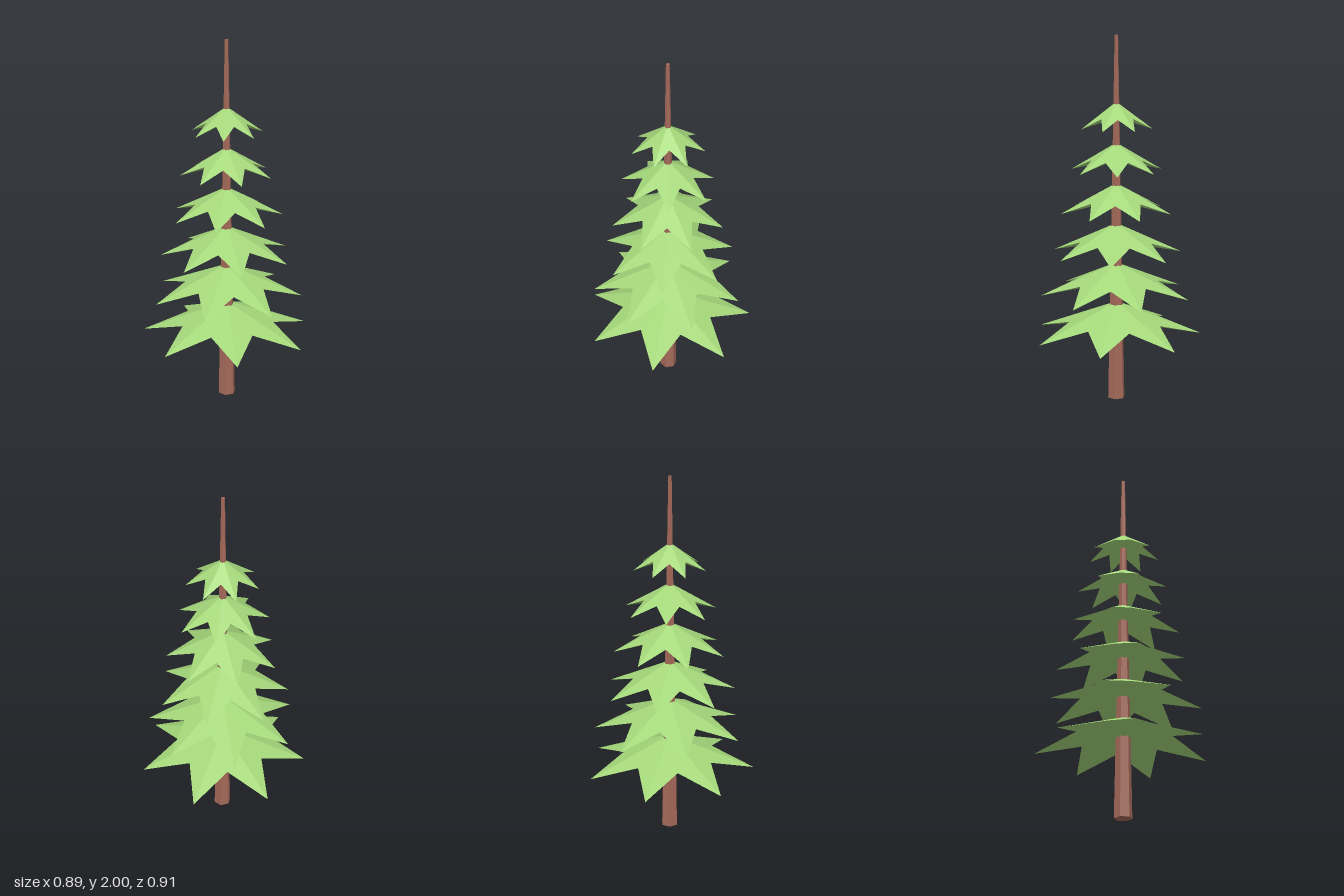
import * as THREE from 'three';

const POINTS = 7;
const AXIS_X = -0.024; // trunk axis, so the whole crown is centred

// Solid seven-pointed star: apex at the origin, drooping tips at y = -drop,
// valleys and underside centre level with each other
function starTier(radius, drop, turn) {
  const level = -drop * 0.61;
  const rim = [];
  for (let i = 0; i < POINTS * 2; i++) {
    const a = turn + (i * Math.PI) / POINTS;
    const valley = i % 2 === 1;
    const r = valley ? radius * 0.55 : radius;
    rim.push([Math.cos(a) * r, valley ? level : -drop, Math.sin(a) * r]);
  }
  const pos = [];
  rim.forEach((p, i) => {
    const next = rim[(i + 1) % rim.length];
    pos.push(0, 0, 0, ...next, ...p); // upper face
    pos.push(0, level, 0, ...p, ...next); // underside face
  });
  const g = new THREE.BufferGeometry();
  g.setAttribute('position', new THREE.Float32BufferAttribute(pos, 3));
  g.computeVertexNormals();
  return g;
}

export function createModel() {
  const bark = new THREE.MeshStandardMaterial({ color: 0xa56a5a, flatShading: true });
  bark.name = 'bark brown';
  const needles = new THREE.MeshStandardMaterial({ color: 0xa4d77a, flatShading: true });
  needles.name = 'needle green';

  const tree = new THREE.Group();
  tree.name = 'pineTree';

  // Tapering six-sided trunk with corners on the x axis
  const trunk = new THREE.Mesh(new THREE.CylinderGeometry(0.01, 0.048, 2, 6), bark);
  trunk.name = 'trunk';
  trunk.rotation.y = Math.PI / 6;
  trunk.position.set(AXIS_X, 1, 0);
  tree.add(trunk);

  // Six branch tiers, shrinking and twisting upward
  for (let i = 0; i < 6; i++) {
    const turn = THREE.MathUtils.degToRad((i * 160) / 7);
    const tier = new THREE.Mesh(starTier(0.468 - i * 0.0544, 0.187 - i * 0.009, turn), needles);
    tier.name = `branchTier${i + 1}`;
    tier.position.set(AXIS_X, 0.55 + i * 0.2195, 0);
    tree.add(tier);
  }
  return tree;
}
